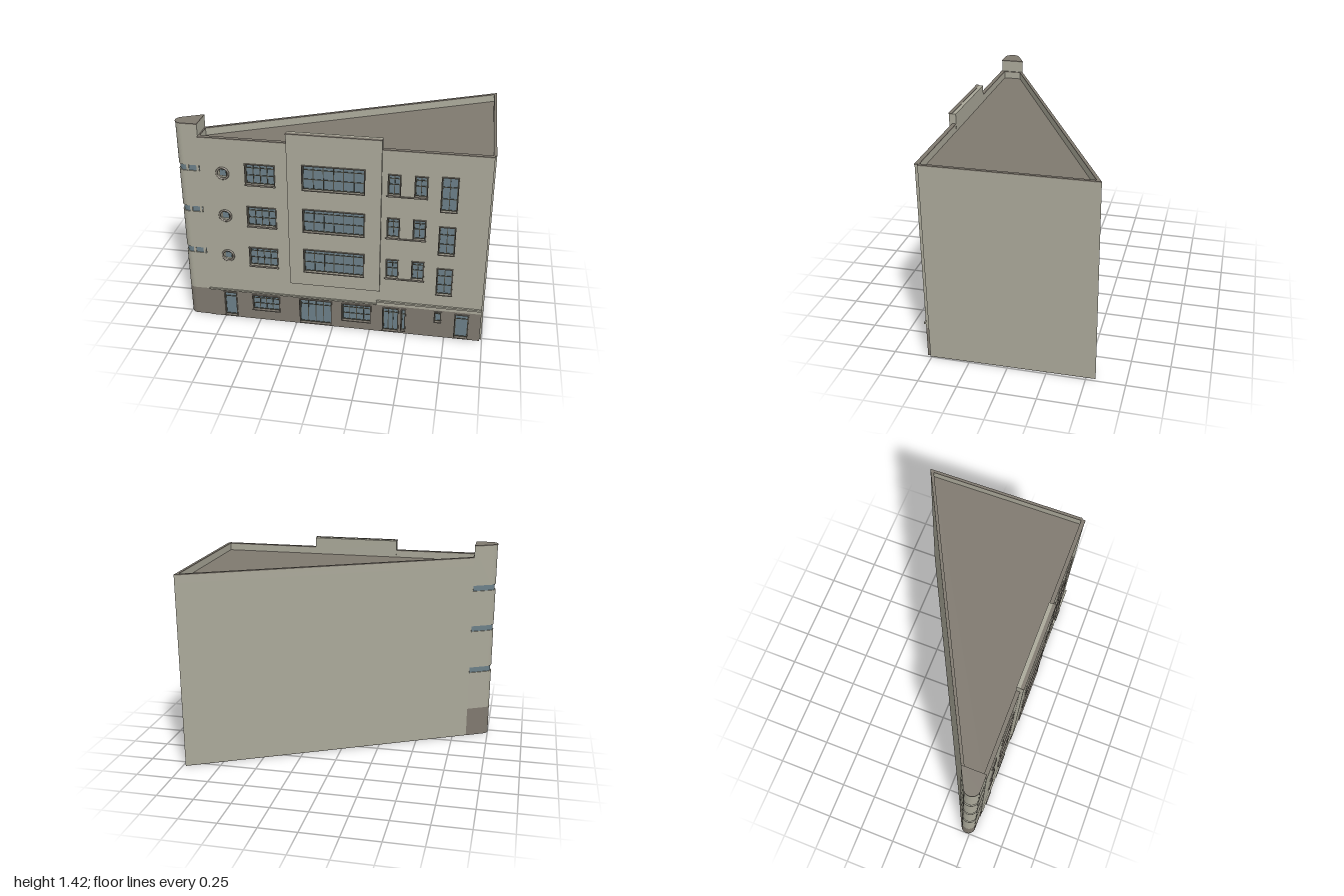
import * as THREE from 'three';

const material = (name, color) => Object.assign(new THREE.MeshStandardMaterial({ color }), { name });
const wall = material('wall plaster', 0xaaa899);
const base = material('dark stone', 0x7f796f);
const glass = material('window glass', 0x6b7f88);
const bars = material('window bars', 0x4c4c42);

export function createModel() {
  const model = new THREE.Group();
  model.name = 'wedgeBuilding';

  const add = (name, geometry, mat, parent = model) => {
    const mesh = new THREE.Mesh(geometry, mat);
    mesh.name = name;
    parent.add(mesh);
    return mesh;
  };
  // Box given by its limits
  const box = (name, x0, x1, y0, y1, z0, z1, mat, parent) => {
    const g = new THREE.BoxGeometry(x1 - x0, y1 - y0, z1 - z0);
    g.translate((x0 + x1) / 2, (y0 + y1) / 2, (z0 + z1) / 2);
    return add(name, g, mat, parent);
  };
  const points = (plan) => plan.map(([x, z]) => new THREE.Vector2(x, -z));
  // Upright prism over a plan of [x, z] corners
  const prism = (name, plan, y0, y1, mat, hole) => {
    const shape = new THREE.Shape(points(plan));
    if (hole) shape.holes.push(new THREE.Path(points(hole)));
    const g = new THREE.ExtrudeGeometry(shape, { depth: y1 - y0, bevelEnabled: false });
    g.rotateX(-Math.PI / 2).translate(0, y0, 0);
    return add(name, g, mat);
  };
  const rectangle = (x0, x1, y0, y1, Type) => new Type([[x0, y0], [x1, y0], [x1, y1], [x0, y1]]
    .map((p) => new THREE.Vector2(...p)));
  // Upright slab facing +z, pierced by window openings
  const slab = (name, [x0, x1, y0, y1], z0, z1, mat, windows, rounds = []) => {
    const shape = rectangle(x0, x1, y0, y1, THREE.Shape);
    for (const w of windows) shape.holes.push(rectangle(w[0], w[1], w[2], w[3], THREE.Path));
    for (const [x, y] of rounds) shape.holes.push(new THREE.Path().absarc(x, y, 0.036, 0, Math.PI * 2, true));
    const g = new THREE.ExtrudeGeometry(shape, { depth: z1 - z0, bevelEnabled: false, curveSegments: 24 });
    add(name, g.translate(0, 0, z0), mat);
  };
  // Glass, bars and surround of one opening; front is the wall face
  const fillWindow = (name, [x0, x1, y0, y1, columns, rails], front, sunk) => {
    const group = new THREE.Group();
    group.name = name;
    model.add(group);
    const z = front - sunk, t = 0.006;
    box('glass', x0, x1, y0, y1, z - 0.004, z, glass, group);
    for (let i = 0; i <= columns; i++) {
      const x = THREE.MathUtils.lerp(x0 + 0.002, x1 - 0.002, i / columns);
      box('upright', x - 0.0025, x + 0.0025, y0, y1, z, z + 0.005, bars, group);
    }
    for (const f of [0.015, ...rails, 0.985]) {
      const y = THREE.MathUtils.lerp(y0, y1, f);
      box('rail', x0, x1, y - 0.0025, y + 0.0025, z, z + 0.004, bars, group);
    }
    const a = front - 0.004, b = front + 0.008;
    box('jamb', x0 - t, x0, y0, y1, a, b, base, group);
    box('jamb', x1, x1 + t, y0, y1, a, b, base, group);
    box('head', x0 - t, x1 + t, y1, y1 + t, a, b, base, group);
    box('sill', x0 - t, x1 + t, y0 - t, y0, a, b + 0.002, base, group);
  };

  // Wedge-shaped body, roof deck and parapet
  const plan = [[-0.85, 0.51], [0.995, 0.51], [0.98, -0.56], [-0.85, 0.37]];
  const inner = [[-0.84, 0.506], [0.975, 0.506], [0.962, -0.528], [-0.84, 0.387]];
  prism('foundation', plan, 0, 0.004, base);
  prism('body', plan, 0.004, 1.28, wall);
  prism('roofDeck', inner, 1.28, 1.286, base);
  prism('parapet', plan, 1.28, 1.33, wall, inner);
  prism('parapetCap', plan, 1.33, 1.337, base, inner);

  // Round-nosed tower with ribbon windows
  const towerPlan = (r) => {
    const start = Math.atan2(-0.891, -0.453), nose = [];
    for (let i = 0; i <= 16; i++) {
      const a = THREE.MathUtils.lerp(start, -Math.PI * 1.5, i / 16);
      nose.push([-0.95 + r * Math.cos(a), 0.475 + r * Math.sin(a)]);
    }
    const [x, z] = nose[0];
    return [[-0.848, z - (-0.848 - x) * 0.508], ...nose, [-0.848, 0.475 + r]];
  };
  const outer = towerPlan(0.05), sunken = towerPlan(0.043);
  const bands = [0.51, 0.82, 1.115];
  prism('towerBase', outer, 0, 0.21, base);
  let level = 0.21;
  for (const y of bands) {
    prism('towerWall', outer, level, y - 0.02, wall);
    prism('ribbonWindow', sunken, y - 0.02, y + 0.02, glass);
    for (const x of [-0.932, -0.865]) box('ribbonPier', x - 0.008, x + 0.008, y - 0.02, y + 0.02, 0.5, 0.524, wall);
    level = y + 0.02;
  }
  prism('towerWall', outer, level, 1.413, wall);
  prism('towerCap', towerPlan(0.052), 1.413, 1.42, base);

  // Upper facade openings: x0, x1, y0, y1, columns, rail heights
  const upper = [], rounds = [], centre = [];
  const floors = [
    { y: 0.435, h: 0.13, tall: [0.338, 0.53], ch: 0.163, ry: 0.49 },
    { y: 0.735, h: 0.133, tall: [0.64, 0.835], ch: 0.157, ry: 0.79 },
    { y: 1.035, h: 0.135, tall: [0.948, 1.178], ch: 0.163, ry: 1.095 },
  ];
  for (const { y, h, tall, ch, ry } of floors) {
    upper.push([-0.55, -0.367, y, y + h, 4, [0.42, 0.8]]);
    upper.push([0.357, 0.428, y, y + h, 2, [0.5, 0.8]], [0.522, 0.593, y, y + h, 2, [0.5, 0.8]]);
    upper.push([0.685, 0.78, tall[0], tall[1], 2, [0.35, 0.7]]);
    centre.push([-0.18, 0.208, y, y + ch, 6, [0.42, 0.82]]);
    rounds.push([-0.702, ry]);
    box('pairSill', 0.342, 0.602, y - 0.012, y - 0.006, 0.526, 0.542, base);
    box('longSill', -0.558, -0.359, y - 0.012, y - 0.006, 0.526, 0.542, base);
  }
  slab('facade', [-0.85, 0.985, 0.21, 1.33], 0.51, 0.53, wall, upper, rounds);
  box('facadeCap', -0.85, 0.985, 1.33, 1.337, 0.51, 0.533, base);
  for (const w of upper) fillWindow('upperWindow', w, 0.53, 0.014);

  // Porthole windows
  for (const [x, y] of rounds) {
    const ring = new THREE.TorusGeometry(0.038, 0.007, 8, 28);
    add('portholeRing', ring.translate(x, y, 0.531), base);
    const disc = new THREE.CircleGeometry(0.037, 28);
    add('portholeBack', disc.translate(x, y, 0.513), wall);
    box('portholeFrame', x - 0.024, x + 0.024, y - 0.024, y + 0.024, 0.512, 0.517, bars);
    box('portholeGlass', x - 0.019, x + 0.019, y - 0.019, y + 0.019, 0.515, 0.519, glass);
  }

  // Raised central panel
  slab('centralPanel', [-0.28, 0.315, 0.33, 1.4], 0.53, 0.551, wall, centre);
  box('panelBack', -0.28, 0.315, 1.286, 1.403, 0.505, 0.53, wall);
  box('panelCap', -0.282, 0.317, 1.4, 1.406, 0.53, 0.554, base);
  for (const w of centre) fillWindow('centralWindow', w, 0.551, 0.014);

  // Ground floor with doors and shop windows
  const ground = [
    [-0.747, -0.667, 0.014, 0.195, 1, [0.8]],
    [-0.548, -0.368, 0.08, 0.19, 4, [0.4, 0.78]],
    [-0.222, -0.01, 0.014, 0.195, 4, [0.78]],
    [0.066, 0.256, 0.065, 0.19, 4, [0.4, 0.78]],
    [0.342, 0.44, 0.014, 0.19, 3, [0.8]],
    [0.465, 0.487, 0.025, 0.19, 1, [0.75]],
    [0.684, 0.722, 0.122, 0.195, 1, [0.75]],
    [0.818, 0.902, 0.014, 0.19, 1, [0.8]],
  ];
  slab('groundFloor', [-0.85, 0.985, 0, 0.21], 0.51, 0.53, base, ground);
  for (const w of ground) fillWindow('groundOpening', w, 0.53, 0.014);
  box('lowLedge', -0.85, 0.295, 0.212, 0.222, 0.528, 0.541, wall);
  box('highLedge', 0.295, 0.985, 0.236, 0.248, 0.528, 0.543, wall);

  return model;
}
